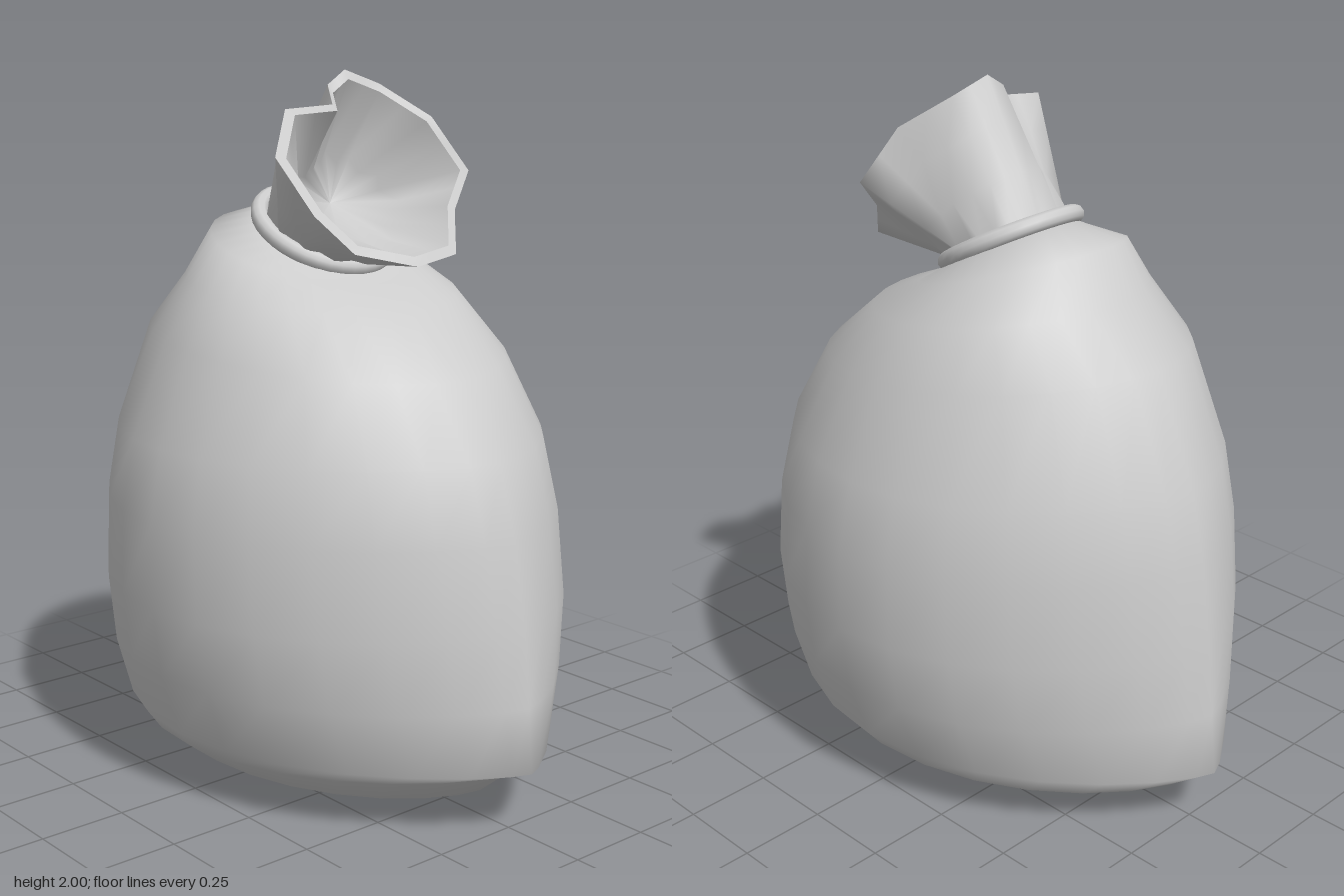
import * as THREE from 'three';

const material = new THREE.MeshStandardMaterial({ color: 0xcccccc, side: THREE.DoubleSide });

// Closed smooth skin through rows of points, each row running from +x towards +z.
function loft(name, rows) {
  const n = rows[0].length;
  const index = [];
  for (let j = 0; j < rows.length - 1; j++) {
    for (let i = 0; i < n; i++) {
      const k = (i + 1) % n;
      const a = j * n + i, b = j * n + k, c = a + n, d = b + n;
      index.push(a, c, b, b, c, d);
    }
  }
  const geometry = new THREE.BufferGeometry().setFromPoints(rows.flat());
  geometry.setIndex(index);
  geometry.computeVertexNormals();
  const mesh = new THREE.Mesh(geometry, material);
  mesh.name = name;
  return mesh;
}

// Sack cross-section: left end, right end, half depth and pointedness of the side seams.
function sackRow([lx, ly, rx, ry, depth, point]) {
  return Array.from({ length: 28 }, (_, i) => {
    const a = (i / 28) * Math.PI * 2;
    const t = (Math.cos(a) + 1) / 2, s = Math.sin(a);
    return new THREE.Vector3(
      THREE.MathUtils.lerp(lx, rx, t),
      THREE.MathUtils.lerp(ly, ry, t),
      Math.sign(s) * Math.abs(s) ** point * depth
    );
  });
}

const lerpRows = (a, b, t) => a.map((p, i) => p.clone().lerp(b[i], t));

export function createModel() {
  const group = new THREE.Group();

  // Sack: rounded base, pinched bottom corners, shoulders sloping up to a tilted neck
  group.add(loft('sackBody', [
    [-0.01, 0, 0.01, 0, 0.01, 1],
    [-0.37, 0.015, 0.35, 0.01, 0.28, 1],
    [-0.62, 0.065, 0.64, 0.07, 0.43, 1.2],
    [-0.74, 0.12, 0.72, 0.14, 0.51, 1.35],
    [-0.83, 0.18, 0.83, 0.18, 0.55, 1.6],
    [-0.81, 0.36, 0.815, 0.36, 0.61, 1.45],
    [-0.79, 0.56, 0.795, 0.56, 0.635, 1.35],
    [-0.755, 0.8, 0.75, 0.8, 0.63, 1.3],
    [-0.71, 1.0, 0.69, 1.0, 0.59, 1.25],
    [-0.58, 1.31, 0.55, 1.2, 0.49, 1.15],
    [-0.42, 1.45, 0.35, 1.36, 0.40, 1.05],
    [-0.355, 1.59, 0.2, 1.42, 0.30, 1],
    [-0.2, 1.63, 0.14, 1.45, 0.19, 1],
    [-0.05, 1.56, -0.01, 1.54, 0.02, 1],
  ].map(sackRow)));

  // Cord tied round the neck
  const neck = new THREE.Vector3(-0.03, 1.555, 0);
  const axis = new THREE.Vector3(0.49, 0.87, 0).normalize();
  const cord = new THREE.Mesh(new THREE.TorusGeometry(0.19, 0.025, 10, 36), material);
  cord.name = 'neckCord';
  cord.position.copy(neck);
  cord.quaternion.setFromUnitVectors(new THREE.Vector3(0, 0, 1), axis);
  group.add(cord);

  // Uneven mouth of the gathered cloth, with a midpoint on every edge
  const corners = [
    [0.40, 1.49, 0.03], [0.34, 1.53, 0.2], [0.27, 1.63, 0.28], [0.17, 1.78, 0.33],
    [0.10, 1.9, 0.24], [0.13, 1.91, 0.1], [0.05, 1.96, 0.05], [0.04, 2.0, -0.02],
    [0.05, 1.96, -0.14], [0.17, 1.87, -0.23], [0.24, 1.72, -0.31], [0.30, 1.62, -0.2],
    [0.38, 1.51, -0.13],
  ].map((p) => new THREE.Vector3(...p));
  const rim = corners.flatMap((p, i) => [p, p.clone().lerp(corners[(i + 1) % corners.length], 0.5)]);

  // Pleated ring inside the cord
  const across = new THREE.Vector3(0.87, -0.49, 0).normalize();
  const gathered = rim.map((_, i) => {
    const a = (i / rim.length) * Math.PI * 2;
    const r = i % 2 ? 0.155 : 0.175;
    return neck.clone().addScaledVector(across, Math.cos(a) * r).add(new THREE.Vector3(0, 0, Math.sin(a) * r));
  });
  const mouthCentre = new THREE.Vector3(0.22, 1.74, 0);
  const innerRim = rim.map((p) => p.clone().lerp(mouthCentre, 0.1));
  const throat = rim.map(() => new THREE.Vector3(0.0, 1.63, 0));
  const innerFold = lerpRows(innerRim, gathered, 0.5).map((p, i) => p.lerp(throat[i], i % 2 ? 0.32 : 0.2));

  // Gathered cloth: pleated outside, thick lip, folds closing inside
  group.add(loft('clothOutside', [gathered, lerpRows(gathered, rim, 0.35), lerpRows(gathered, rim, 0.7), rim]));
  group.add(loft('clothLip', [rim, innerRim]));
  group.add(loft('clothInside', [innerRim, innerFold, throat]));

  return group;
}
